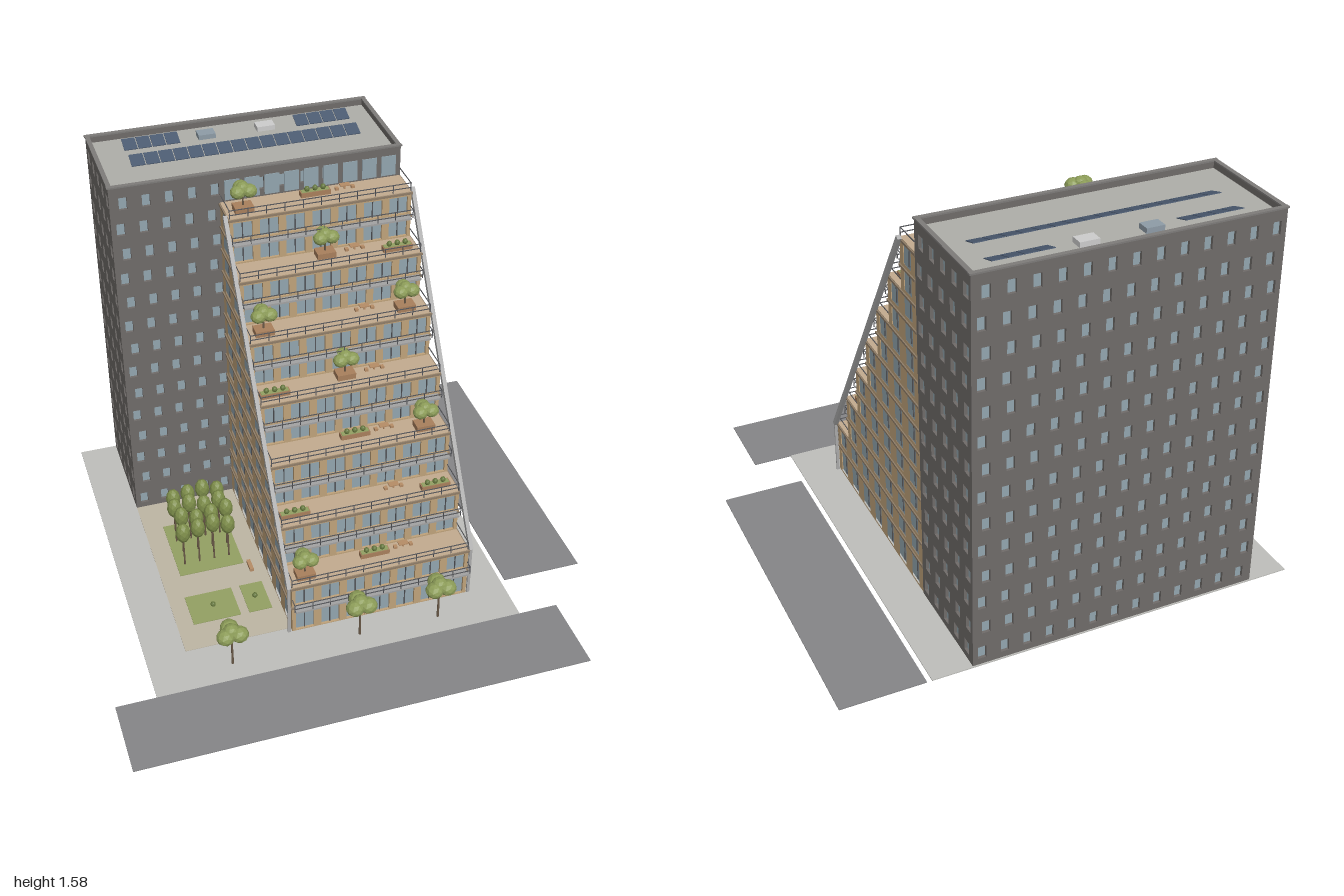
import * as THREE from 'three';
import { mergeGeometries } from 'three/addons/utils/BufferGeometryUtils.js';

const L = -0.25, R = 0.488, W = R - L, CX = (L + R) / 2; // terrace block in x
const T = { x0: -0.68, x1: 0.49, z0: -0.935, z1: -0.48, top: 1.575, roof: 1.55 }; // tower
const SKIN = 0.012, STEP = 0.13, STEPS = 7;
const floorY = k => (k === 0 ? 0 : 0.134 + 0.1009 * (k - 1));
const frontZ = i => 0.44 - STEP * i;
const deckY = i => floorY(2 * i + 2);

export function createModel() {
  const model = new THREE.Group();
  const parts = {};

  // Collects geometry into one mesh per named part
  const add = (name, color, geo) => {
    parts[name] ??= { color, geos: [] };
    parts[name].geos.push(geo.index ? geo.toNonIndexed() : geo);
  };
  // Box given by centre x, base y, centre z
  const box = (name, color, w, h, d, x, y, z) =>
    add(name, color, new THREE.BoxGeometry(w, h, d).translate(x, y + h / 2, z));
  const hole = (shape, x, y, w, h) => {
    const p = new THREE.Path();
    p.moveTo(x - w / 2, y).lineTo(x - w / 2, y + h).lineTo(x + w / 2, y + h).lineTo(x + w / 2, y).closePath();
    shape.holes.push(p);
  };
  const poly = pts => new THREE.Shape(pts.map(p => new THREE.Vector2(...p)));
  const extrude = s => new THREE.ExtrudeGeometry(s, { depth: SKIN, bevelEnabled: false });

  const TAN = 0xbfa27a, DARK = 0x6f6b69, GLASS = 0x92a5ae, METAL = 0x55565a, WOOD = 0xb58c66,
    DECK = 0xc2aa8e, LEAF = 0x8c9c58, TRUNK = 0x6b5a48, GRASS = 0x93a063;

  // ---- Ground plates ----
  box('plaza', 0xbebeba, 1.49, 0.004, 1.56, -0.095, 0, -0.16);
  box('frontRoad', 0x858587, 1.81, 0.004, 0.32, -0.095, 0, 0.78);
  box('sideRoad', 0x858587, 0.33, 0.004, 1.36, 0.835, 0, -0.26);
  box('paving', 0xbdb5a3, 0.43, 0.002, 0.9, -0.465, 0.004, -0.03);
  box('lawns', GRASS, 0.27, 0.004, 0.32, -0.465, 0.005, -0.16);
  box('lawns', GRASS, 0.195, 0.004, 0.16, -0.517, 0.005, 0.21);
  box('lawns', GRASS, 0.095, 0.004, 0.16, -0.337, 0.005, 0.21);
  for (const z of [-0.375, -0.03 + 0.06]) box('benches', WOOD, 0.016, 0.014, 0.06, -0.31, 0.006, z);

  // ---- Tower: glazed core behind walls with punched windows ----
  const tw = T.x1 - T.x0, td = T.z1 - T.z0, tx = (T.x0 + T.x1) / 2, tz = (T.z0 + T.z1) / 2;
  box('towerGlass', GLASS, tw - 0.023, T.roof - 0.01, td - 0.023, tx, 0, tz);
  box('towerRoof', 0xaeaea8, tw - 0.02, 0.012, td - 0.02, tx, T.roof - 0.012, tz);
  const facade = (w, cols, winW) => {
    const s = poly([[-w / 2, 0], [w / 2, 0], [w / 2, T.top], [-w / 2, T.top]]);
    const gap = w / cols;
    for (let r = 0; r < 14; r++)
      for (let c = 0; c < cols; c++)
        hole(s, (c + 0.5 - cols / 2) * gap + (r % 2 ? 0.008 : -0.008), 0.03 + r * 0.1115, winW, 0.052);
    return extrude(s);
  };
  add('towerWalls', DARK, facade(tw, 13, 0.032).translate(tx, 0, T.z1 - SKIN));
  add('towerWalls', DARK, facade(tw, 13, 0.032).rotateY(Math.PI).translate(tx, 0, T.z0 + SKIN));
  add('towerWalls', DARK, facade(td, 5, 0.04).rotateY(Math.PI / 2).translate(T.x1 - SKIN, 0, tz));
  add('towerWalls', DARK, facade(td, 5, 0.04).rotateY(-Math.PI / 2).translate(T.x0 + SKIN, 0, tz));
  for (const z of [T.z0 + 0.006, T.z1 - 0.006]) box('parapetCap', 0x7d7b79, tw + 0.01, 0.006, 0.018, tx, T.top, z);
  for (const x of [T.x0 + 0.006, T.x1 - 0.006]) box('parapetCap', 0x7d7b79, 0.018, 0.006, td, x, T.top, tz);
  // Glazed strip above the top terrace
  for (let c = 0; c < 9; c++) box('topGlazing', GLASS, 0.06, 0.085, 0.006, L + 0.05 + c * 0.08, 1.455, T.z1);

  // ---- Rooftop equipment ----
  const solar = (x0, x1, z) => {
    const n = Math.round((x1 - x0) / 0.059), w = (x1 - x0) / n;
    for (let i = 0; i < n; i++)
      add('solarPanels', 0x4b5a70, new THREE.BoxGeometry(w - 0.004, 0.003, 0.064).rotateX(0.3)
        .translate(x0 + (i + 0.5) * w, T.roof + 0.014, z));
  };
  solar(-0.55, 0.39, -0.70);
  solar(-0.55, -0.32, -0.84);
  solar(0.16, 0.39, -0.84);
  box('roofUnit', 0x8d9ba6, 0.07, 0.02, 0.05, -0.21, T.roof, -0.84);
  box('roofHatch', 0xcccccc, 0.075, 0.02, 0.05, 0.035, T.roof, -0.84);

  // ---- Terrace block: side walls as a staircase outline with windows ----
  const outline = [[-T.z1, 0], [-frontZ(0), 0]];
  for (let i = 0; i < STEPS; i++) outline.push([-frontZ(i), deckY(i)], [i < 6 ? -frontZ(i + 1) : -T.z1, deckY(i)]);
  const side = poly(outline);
  for (let k = 0; k < 14; k++)
    for (let b = Math.floor(k / 2); b < STEPS; b++)
      hole(side, -(frontZ(b) - STEP / 2), floorY(k) + 0.012, 0.068, floorY(k + 1) - floorY(k) - 0.028);
  for (const x of [L, R - SKIN]) add('terraceSideWalls', TAN, extrude(side).rotateY(Math.PI / 2).translate(x, 0, 0));
  for (const x of [L + 0.008, R - 0.008])
    for (let k = 0; k < 14; k++)
      for (let b = Math.floor(k / 2); b < STEPS; b++)
        box('mullions', METAL, 0.004, floorY(k + 1) - floorY(k) - 0.028, 0.004, x, floorY(k) + 0.012, frontZ(b) - STEP / 2);

  // Railing along x with optional returns along z
  const railing = (y, z, back) => {
    for (const h of [0.014, 0.034]) box('railings', METAL, W, 0.003, 0.003, CX, y + h, z);
    for (let p = 0; p <= 10; p++) box('railings', METAL, 0.003, 0.036, 0.003, L + 0.002 + p * (W - 0.004) / 10, y, z);
    for (const x of [L + 0.002, R - 0.002]) box('railings', METAL, 0.003, 0.003, back, x, y + 0.034, z - back / 2);
  };

  // Front walls, slabs, decks and balconies, one step at a time
  const bays = 7, bay = W / bays;
  for (let i = 0; i < STEPS; i++) {
    const f = frontZ(i), top = deckY(i), base = i ? deckY(i - 1) : 0;
    const front = poly([[L, base], [R, base], [R, top], [L, top]]);
    box('terraceGlass', GLASS, W - 0.02, top - 0.004, STEP, CX, 0, f - STEP / 2 - 0.01);
    for (let k = 2 * i; k < 2 * i + 2; k++) {
      const h = floorY(k + 1) - floorY(k) - 0.026;
      for (let b = 0; b < bays; b++) {
        const x = L + (b + 0.5) * bay;
        hole(front, x, floorY(k) + 0.008, 0.076, h);
        box('mullions', METAL, 0.004, h, 0.004, x, floorY(k) + 0.008, f - 0.008);
      }
      box('floorSlabs', 0x8f7d68, W + 0.01, 0.009, f - T.z1 + 0.005, CX, floorY(k + 1) - 0.01, (f + 0.005 + T.z1) / 2);
    }
    add('terraceFrontWalls', TAN, extrude(front).translate(0, 0, f - SKIN));
    box('decks', DECK, W, 0.004, STEP + 0.01, CX, top - 0.002, f - STEP / 2 - 0.005);
    const mid = floorY(2 * i + 1);
    box('balconies', 0xa2a2a2, W - 0.015, 0.008, 0.036, CX, mid - 0.006, f + 0.016);
    railing(mid + 0.002, f + 0.032, 0.032);
    railing(top + 0.002, f - 0.003, STEP - 0.003);
    // Small table with two stools
    box('terraceFurniture', WOOD, 0.04, 0.004, 0.025, 0.245, top + 0.018, f - 0.1);
    box('terraceFurniture', WOOD, 0.006, 0.018, 0.006, 0.245, top, f - 0.1);
    for (const s of [-1, 1]) box('terraceFurniture', WOOD, 0.014, 0.012, 0.016, 0.245 + s * 0.033, top, f - 0.1);
  }

  // ---- Sloping beams on both flanks ----
  const dz = -0.8, dy = 1.22;
  for (const x of [L - 0.012, R + 0.01]) {
    add('slopingBeams', 0xa9a9a9, new THREE.BoxGeometry(0.016, Math.hypot(dy, dz), 0.018)
      .rotateX(Math.atan2(dz, dy)).translate(x, 0.235 + dy / 2, 0.44 + dz / 2));
    box('slopingBeams', 0xa9a9a9, 0.012, 0.235, 0.008, x, 0, 0.438);
  }

  // ---- Planting ----
  const blob = (name, color, r, sy, x, y, z) =>
    add(name, color, new THREE.IcosahedronGeometry(r, 1).scale(1, sy, 1).translate(x, y, z));
  const trunk = (h, r, x, y, z) => add('trunks', TRUNK, new THREE.CylinderGeometry(r * 0.7, r, h, 6).translate(x, y + h / 2, z));
  const crown = (r, x, y, z) => {
    for (let a = 0; a < 3; a++) {
      const t = a * Math.PI * 2 / 3 + 0.5;
      blob('treeCrowns', LEAF, r, 0.85, x + Math.cos(t) * r * 0.85, y, z + Math.sin(t) * r * 0.85);
    }
    blob('treeCrowns', LEAF, r * 0.85, 0.8, x, y + r * 0.4, z);
  };
  // Street trees
  for (const x of [-0.52, 0, 0.33]) {
    trunk(0.15, 0.005, x, 0.004, 0.535);
    crown(0.037, x, 0.168, 0.535);
  }
  // Planters holding shrubs
  const planter = (i, x, dzp) => {
    const y = deckY(i), z = frontZ(i) - dzp;
    box('planters', 0xa87f5c, 0.12, 0.022, 0.03, x, y, z);
    box('planterSoil', GRASS, 0.112, 0.003, 0.024, x, y + 0.021, z);
    for (const s of [-1, 0, 1]) blob('shrubs', 0x66783f, 0.011, 1.1, x + s * 0.033, y + 0.032, z);
  };
  for (const [i, x, d] of [[6, 0.12, 0.09], [5, 0.405, 0.05], [3, -0.18, 0.05], [2, 0.12, 0.09],
    [1, -0.18, 0.055], [1, 0.405, 0.055], [0, 0.12, 0.09]]) planter(i, x, d);
  // Terrace trees in boxes
  for (const [i, x, d] of [[0, -0.18, 0.055], [2, 0.4, 0.06], [3, 0.12, 0.09], [4, -0.18, 0.06],
    [4, 0.4, 0.06], [5, 0.12, 0.09], [6, -0.18, 0.055]]) {
    const y = deckY(i), z = frontZ(i) - d;
    box('planters', 0xa87f5c, 0.075, 0.026, 0.055, x, y, z);
    trunk(0.075, 0.004, x, y + 0.02, z);
    crown(0.031, x, y + 0.09, z);
  }
  // Grove and lawn shrubs
  for (let r = 0; r < 4; r++)
    for (let c = 0; c < 4; c++) {
      const x = -0.555 + c * 0.063 + (r % 2 ? -0.01 : 0.002), z = -0.29 + r * 0.075, up = ((r + c) % 3) * 0.012;
      trunk(0.16, 0.004, x, 0.005, z);
      blob('groveCrowns', 0x7d8d4a, 0.031, 1.5, x, 0.18 + up, z);
    }
  for (const x of [-0.515, -0.34]) blob('shrubs', 0x66783f, 0.011, 1, x, 0.018, 0.21);

  const flat = new Set(['treeCrowns', 'groveCrowns', 'shrubs']);
  for (const [name, { color, geos }] of Object.entries(parts)) {
    const mesh = new THREE.Mesh(mergeGeometries(geos), new THREE.MeshStandardMaterial({ color, flatShading: flat.has(name) }));
    mesh.name = name;
    model.add(mesh);
  }
  return model;
}
